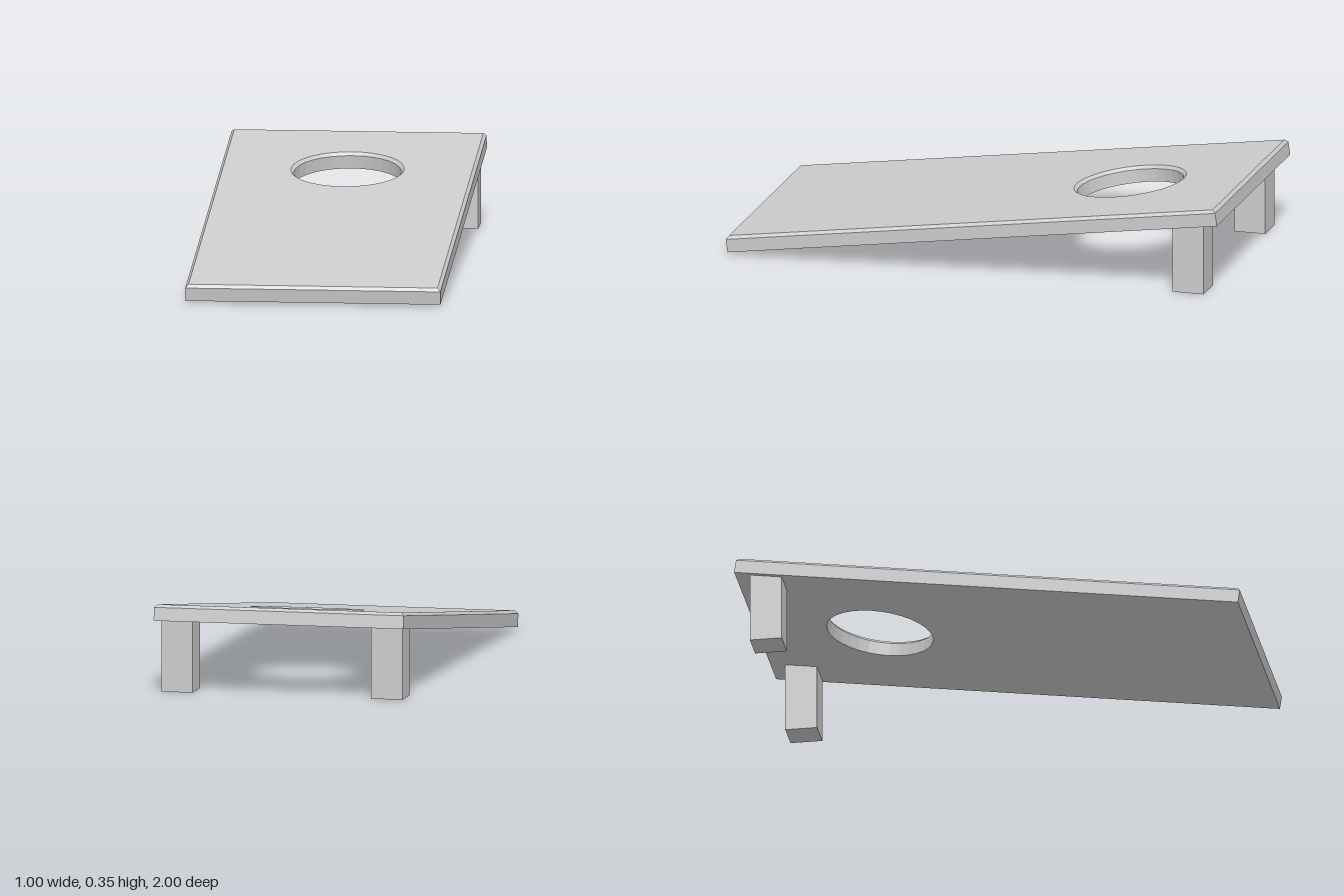
import * as THREE from 'three';

const W = 1, L = 2.013, T = 0.0643;      // board width, length, thickness
const C = 0.012, R = 0.21;               // chamfer size, hole radius
const TILT = 0.14;
const BOARD_Y = 0.1475, BOARD_Z = -0.0035; // centre of the board's underside
const HOLE = 0.508;                      // hole centre along the board

const material = new THREE.MeshStandardMaterial({ color: 0xcccccc, flatShading: true });

// Slab with a round hole; the last extrude layer is pulled in to chamfer the top edges
function boardGeometry() {
  const shape = new THREE.Shape();
  shape.moveTo(-W / 2, -L / 2).lineTo(W / 2, -L / 2).lineTo(W / 2, L / 2).lineTo(-W / 2, L / 2).closePath();
  const hole = new THREE.Path();
  hole.absarc(0, HOLE, R, 0, Math.PI * 2, true);
  shape.holes.push(hole);

  const geo = new THREE.ExtrudeGeometry(shape, { depth: 2, steps: 2, bevelEnabled: false, curveSegments: 16 });
  const pos = geo.attributes.position;
  for (let i = 0; i < pos.count; i++) {
    let x = pos.getX(i), y = pos.getY(i);
    const layer = Math.round(pos.getZ(i));
    if (layer === 2) {
      if (Math.hypot(x, y - HOLE) < R + 0.01) {
        const k = (R + C) / R;
        x *= k;
        y = HOLE + (y - HOLE) * k;
      } else {
        x -= Math.sign(x) * C;
        y -= Math.sign(y) * C;
      }
    }
    pos.setXYZ(i, x, y, [0, T - C, T][layer]);
  }
  geo.rotateX(-Math.PI / 2);
  geo.computeVertexNormals();
  return geo;
}

// Square post whose top is cut to the slope of the board
function legGeometry(z) {
  const size = 0.126;
  const geo = new THREE.BoxGeometry(size, 1, size).translate(0, 0.5, z);
  const pos = geo.attributes.position;
  for (let i = 0; i < pos.count; i++) {
    if (pos.getY(i) > 0.5) pos.setY(i, BOARD_Y - (pos.getZ(i) - BOARD_Z) * Math.tan(TILT));
  }
  geo.computeVertexNormals();
  return geo;
}

export function createModel() {
  const model = new THREE.Group();
  model.name = 'tossGameBoard';

  const board = new THREE.Mesh(boardGeometry(), material);
  board.name = 'board';
  board.rotation.x = TILT;
  board.position.set(0, BOARD_Y, BOARD_Z);
  model.add(board);

  // Rear legs
  for (const side of [1, -1]) {
    const leg = new THREE.Mesh(legGeometry(-0.878), material);
    leg.name = side > 0 ? 'leftLeg' : 'rightLeg';
    leg.position.x = side * 0.42;
    model.add(leg);
  }
  return model;
}
